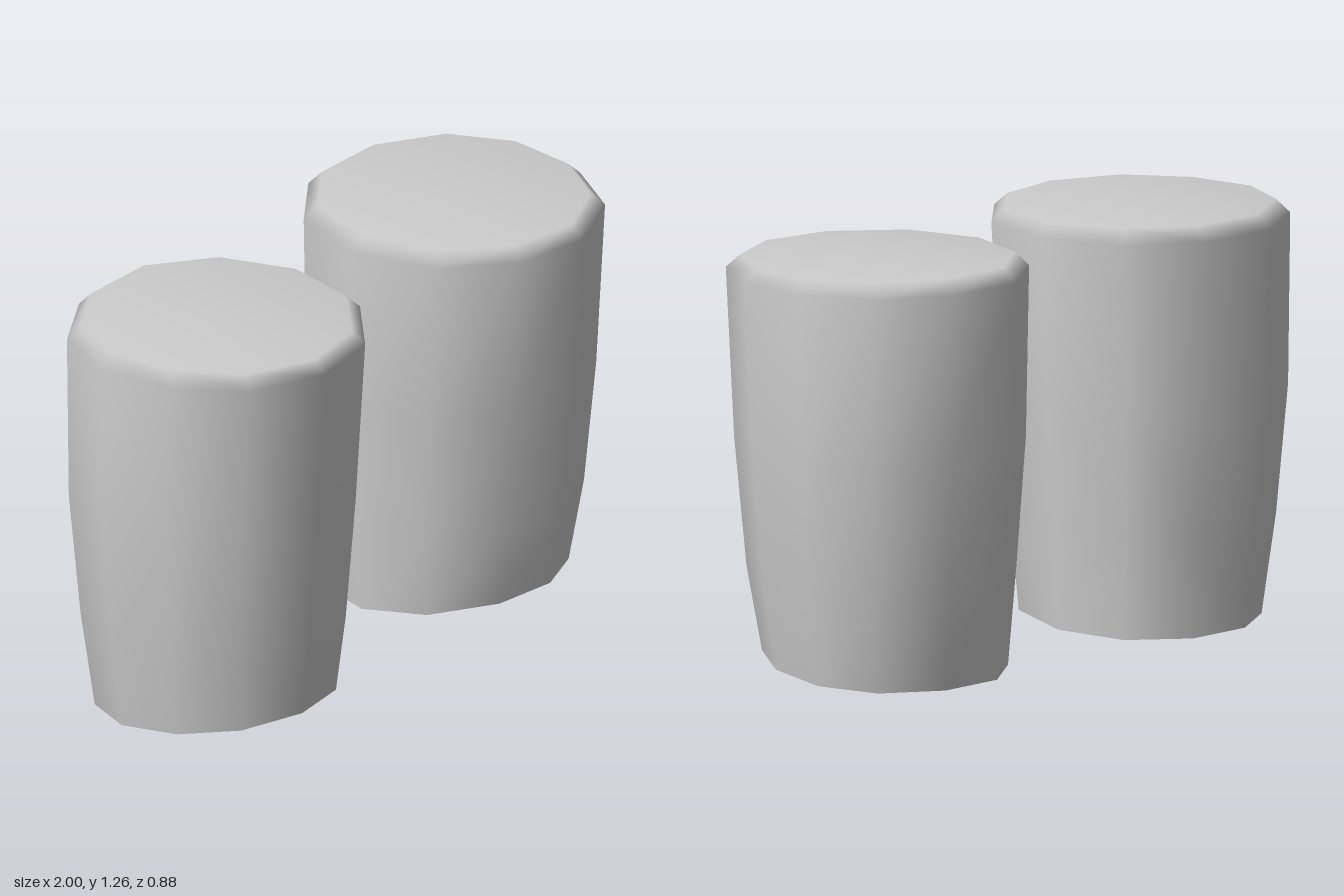
import * as THREE from 'three';

// Eleven-sided outline of the widest ring, as [x, z]
const OUTLINE = [
  [0.41, -0.44], [0.68, -0.44], [0.9, -0.31], [1.0, -0.1], [0.975, 0.14], [0.845, 0.34],
  [0.615, 0.44], [0.37, 0.4], [0.17, 0.22], [0.11, -0.04], [0.2, -0.29],
];

// Rings from bottom to top: bounds the outline is fitted to, and height as a function of depth t (0 back, 1 front)
const RINGS = [
  { x: [0.175, 0.905], z: [-0.37, 0.34], y: (t) => 0.065 * t ** 1.7 },
  { x: [0.155, 0.95], z: [-0.405, 0.38], y: () => 0.31 },
  { x: [0.13, 0.985], z: [-0.437, 0.415], y: () => 0.7 },
  { x: [0.11, 1.0], z: [-0.44, 0.445], y: () => 1.217 },
  { x: [0.152, 0.958], z: [-0.4, 0.405], y: (t) => 1.26 - 0.006 * t },
];

// Tapered sleeve with a bevelled closed top and an open slanted bottom
function sleeveGeometry(side) {
  const n = OUTLINE.length;
  const positions = [];
  const index = [];
  const face = (a, b, c) => index.push(...(side > 0 ? [a, b, c] : [a, c, b]));

  for (const ring of RINGS) {
    for (const [px, pz] of OUTLINE) {
      const s = (px - 0.11) / 0.89;
      const t = (pz + 0.44) / 0.88;
      positions.push(
        side * THREE.MathUtils.lerp(ring.x[0], ring.x[1], s),
        ring.y(t),
        THREE.MathUtils.lerp(ring.z[0], ring.z[1], t),
      );
    }
  }

  // Walls and bevel
  for (let r = 0; r < RINGS.length - 1; r++) {
    for (let i = 0; i < n; i++) {
      const j = (i + 1) % n;
      const a = r * n + i, b = r * n + j;
      face(a, a + n, b);
      face(b, a + n, b + n);
    }
  }

  // Top cap
  const top = (RINGS.length - 1) * n;
  const centre = positions.length / 3;
  positions.push(side * 0.555, 1.257, 0);
  for (let i = 0; i < n; i++) face(centre, top + ((i + 1) % n), top + i);

  const geometry = new THREE.BufferGeometry();
  geometry.setAttribute('position', new THREE.Float32BufferAttribute(positions, 3));
  geometry.setIndex(index);
  geometry.computeVertexNormals();
  return geometry;
}

export function createModel() {
  const group = new THREE.Group();
  group.name = 'sleevePair';
  const material = new THREE.MeshStandardMaterial({ color: 0xcccccc, side: THREE.DoubleSide });
  for (const [name, side] of [['leftSleeve', 1], ['rightSleeve', -1]]) {
    const mesh = new THREE.Mesh(sleeveGeometry(side), material);
    mesh.name = name;
    group.add(mesh);
  }
  return group;
}
